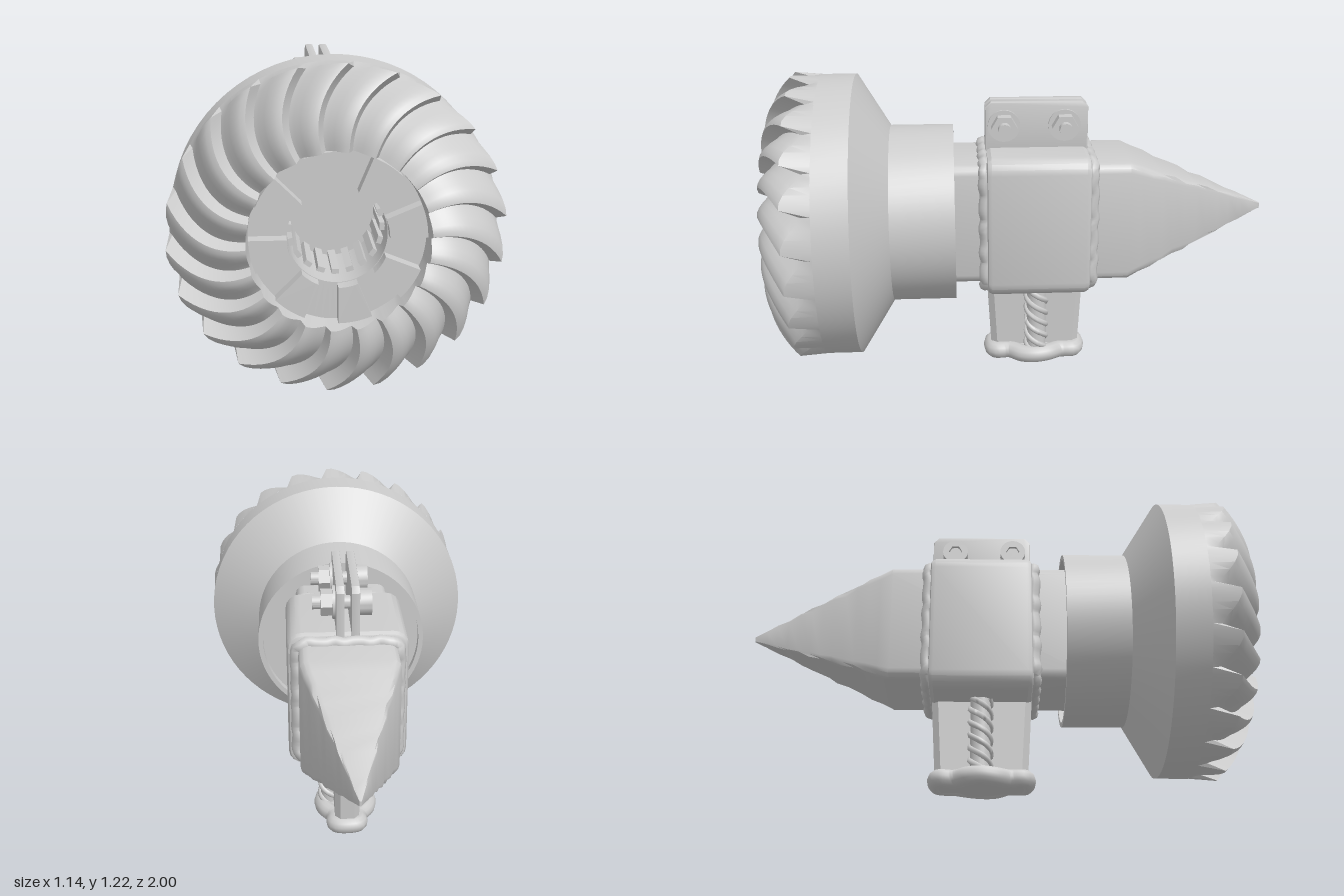
import * as THREE from 'three';
import { toCreasedNormals } from 'three/addons/utils/BufferGeometryUtils.js';

const AXIS_Y = 0.65;
const V2 = (x, y) => new THREE.Vector2(x, y);
const V3 = (x, y, z) => new THREE.Vector3(x, y, z);

// Skin through equal-length rings, ordered along +z, each counter-clockwise
function loft(rings, capped = true) {
  const n = rings[0].length, pos = rings.flat().flatMap(p => [p.x, p.y, p.z]), idx = [];
  for (let i = 0; i < rings.length - 1; i++) {
    for (let j = 0; j < n; j++) {
      const a = i * n + j, b = i * n + (j + 1) % n;
      idx.push(a, b, b + n, a, b + n, a + n);
    }
  }
  if (capped) {
    [rings[0], rings[rings.length - 1]].forEach((ring, end) => {
      const c = ring.reduce((s, p) => s.add(p), V3(0, 0, 0)).divideScalar(n);
      const k = pos.length / 3, base = end * (rings.length - 1) * n;
      pos.push(c.x, c.y, c.z);
      for (let j = 0; j < n; j++) {
        const a = base + j, b = base + (j + 1) % n;
        end ? idx.push(k, a, b) : idx.push(k, b, a);
      }
    });
  }
  const g = new THREE.BufferGeometry();
  g.setAttribute('position', new THREE.Float32BufferAttribute(pos, 3));
  g.setIndex(idx);
  g.computeVertexNormals();
  return g;
}

// Rounded rectangle ring in the xy plane
function roundRect(hx, hy, r, z, steps = 4) {
  const out = [];
  [[1, 1], [-1, 1], [-1, -1], [1, -1]].forEach(([sx, sy], q) => {
    for (let i = 0; i <= steps; i++) {
      const a = (q + i / steps) * Math.PI / 2;
      out.push(V3(sx * (hx - r) + r * Math.cos(a), sy * (hy - r) + r * Math.sin(a), z));
    }
  });
  return out;
}

// Spiral toothed face: each tooth has a steep flank and a long gentle one
function toothedFace() {
  const teeth = 22, rows = 14;
  const profile = [[0, 0], [0.17, 1], [0.32, 0.98], [0.5, 0.8], [0.68, 0.52], [0.86, 0.18]];
  const ring = fn => {
    const out = [];
    for (let t = 0; t < teeth; t++) {
      for (const [u, h] of profile) {
        const { r, z, turn } = fn(h);
        const a = (t + u) / teeth * Math.PI * 2 + turn;
        out.push(V3(r * Math.cos(a), r * Math.sin(a), z));
      }
    }
    return out;
  };
  const rings = [ring(() => ({ r: 0.563, z: 0.775, turn: -0.25 }))];
  for (let i = rows; i >= 0; i--) {
    const s = i / rows, turn = 0.06 * s - 0.31 * s * s;
    rings.push(ring(h => ({
      r: 0.305 + s * (0.247 + 0.02 * h),
      z: 1 - 0.115 * Math.pow(s, 2.2) - (1 - h) * (0.04 + 0.035 * s),
      turn,
    })));
  }
  rings.push(ring(() => ({ r: 0.297, z: 0.88, turn: 0 })));
  return loft(rings, false);
}

export function createModel() {
  const model = new THREE.Group();
  const mat = new THREE.MeshStandardMaterial({ color: 0xcccccc });
  const add = (name, geo, x = 0, y = 0, z = 0, crease = 0.5, parent = model) => {
    const m = new THREE.Mesh(toCreasedNormals(geo, crease), mat);
    m.name = name;
    m.position.set(x, y, z);
    parent.add(m);
    return m;
  };
  const lathe = pts => new THREE.LatheGeometry(pts.map(p => V2(...p)), 72).rotateX(Math.PI / 2);

  // Gear: body, toothed face, bore
  const gear = new THREE.Group();
  gear.name = 'gear';
  gear.position.y = AXIS_Y;
  model.add(gear);
  add('gearBody', lathe([[0, 0.29], [0.335, 0.29], [0.335, 0.26], [0.355, 0.26], [0.355, 0.51],
    [0.563, 0.64], [0.563, 0.776]]), 0, 0, 0, 0.4, gear);
  add('gearTeeth', toothedFace(), 0, 0, 0, 0.55, gear);
  add('bore', lathe([[0.3, 0.9], [0.168, 0.9], [0.168, 0.62], [0, 0.62]]), 0, 0, 0, 0.5, gear);

  // Clutch dogs around the bore
  for (let i = 0; i < 8; i++) {
    const a = i * Math.PI / 4, b = a + Math.PI / 8, s = new THREE.Shape();
    s.absarc(0, 0, 0.296, a, b, false);
    s.absarc(0, 0, 0.17, b, a, true);
    add('clutchDog', new THREE.ExtrudeGeometry(s, { depth: 0.06, bevelEnabled: false, curveSegments: 6 }),
      0, 0, 0.89, 0.4, gear);
  }
  // Splines in the bore
  for (let i = 0; i < 20; i++) {
    const a = i / 20 * Math.PI * 2;
    const m = add('spline', new THREE.BoxGeometry(0.024, 0.026, 0.2),
      0.162 * Math.cos(a), 0.162 * Math.sin(a), 0.72, 0.4, gear);
    m.rotation.z = a;
  }

  // Square shaft running back into a hammered spike
  const spike = [[-1, 0.004, 0.01], [-0.43, 0.19, 0.245], [0.3, 0.19, 0.245]];
  const rings = [];
  for (let i = 0; i <= 12; i++) {
    const t = i / 12, z = spike[0][0] + t * 0.57;
    const dent = 0.007 * Math.sin(t * Math.PI);
    const hx = 0.004 + 0.186 * t, hy = 0.01 + 0.235 * t;
    rings.push(roundRect(hx, hy, 0.035 * t + 0.002, z, 3).map((p, j) => {
      const w = dent * Math.sin(i * 2.3 + Math.floor(j / 2) * 1.7);
      return V3(p.x * (1 + w / (hx + 0.05)), p.y * (1 + w / (hy + 0.05)), z);
    }));
  }
  rings.push(roundRect(0.19, 0.245, 0.037, 0.3, 3));
  add('shaftAndSpike', loft(rings), 0, AXIS_Y, 0, 0.6);

  // Clamp sleeve with softened ends
  add('sleeve', loft([
    roundRect(0.215, 0.265, 0.04, -0.275), roundRect(0.227, 0.277, 0.052, -0.27),
    roundRect(0.234, 0.286, 0.06, -0.255), roundRect(0.234, 0.286, 0.06, 0.115),
    roundRect(0.227, 0.277, 0.052, 0.13), roundRect(0.215, 0.265, 0.04, 0.135),
  ]), 0, 0.643, 0);

  // Uneven weld beads where the shaft enters the sleeve
  for (const z of [0.14, -0.28]) {
    const pts = [];
    const outline = roundRect(0.195, 0.25, 0.04, z, 3);
    outline.forEach((p, i) => {
      const q = outline[(i + 1) % outline.length], n = Math.max(1, Math.round(p.distanceTo(q) / 0.035));
      for (let k = 0; k < n; k++) {
        const c = p.clone().lerp(q, k / n), w = 0.004 * Math.sin(pts.length * 2.4);
        pts.push(V3(c.x * (1 + w * 3), c.y * (1 + w * 3), z + w));
      }
    });
    add('weldBead', new THREE.TubeGeometry(new THREE.CatmullRomCurve3(pts, true), 160, 0.026, 8, true),
      0, 0.645, 0, 1);
  }

  // Pair of bolted clamp ears on top
  const ear = new THREE.Shape([V2(0.13, 0.9), V2(0.13, 1.09), V2(0.11, 1.11), V2(-0.25, 1.11),
    V2(-0.27, 1.09), V2(-0.27, 0.9)]);
  for (const side of [-1, 1]) {
    const g = new THREE.ExtrudeGeometry(ear, { depth: 0.024, bevelSize: 0.004, bevelThickness: 0.004, bevelSegments: 2 });
    add('clampEar', g.translate(0, 0, -0.012).rotateY(-Math.PI / 2), side * 0.029, 0, 0);
  }
  for (const z of [0.06, -0.18]) {
    const bolt = new THREE.Group();
    bolt.name = 'bolt';
    bolt.position.set(0, 1.02, z);
    model.add(bolt);
    const disc = (name, r, x0, x1, sides) => add(name,
      new THREE.CylinderGeometry(r, r, x1 - x0, sides).rotateZ(Math.PI / 2), (x0 + x1) / 2, 0, 0, 0.5, bolt);
    disc('boltShank', 0.026, -0.08, 0.132, 20);
    disc('washer', 0.064, 0.042, 0.056, 28);
    disc('nut', 0.052, 0.056, 0.1, 6);
    // Socket head with a hexagonal recess
    const head = new THREE.Shape().absarc(0, 0, 0.052, 0, Math.PI * 2);
    head.holes.push(new THREE.Path([5, 4, 3, 2, 1, 0].map(i =>
      V2(0.028 * Math.cos(i * Math.PI / 3), 0.028 * Math.sin(i * Math.PI / 3)))));
    add('boltHead', new THREE.ExtrudeGeometry(head, { depth: 0.052, bevelEnabled: false, curveSegments: 24 })
      .rotateY(-Math.PI / 2), -0.042, 0, 0, 0.5, bolt);
  }

  // Lower post, tapering slightly toward its foot
  add('post', loft([
    [0.015, 0.18, 0.05], [0.38, 0.2, 0.052],
  ].map(([h, half, w]) => [[w, -half + 0.025], [w, half - 0.025], [w - 0.022, half], [-w + 0.022, half],
    [-w, half - 0.025], [-w, -half + 0.025], [-w + 0.022, -half], [w - 0.022, -half]]
    .map(([x, y]) => V3(x, y, h)))).rotateX(-Math.PI / 2), 0, 0, -0.066);

  // Twisted rods welded to both flanks of the post
  for (const side of [-1, 1]) {
    const rod = new THREE.Group();
    rod.name = 'twistedRod';
    rod.position.set(side * 0.064, 0, -0.07);
    model.add(rod);
    add('rodCore', new THREE.CylinderGeometry(0.04, 0.04, 0.32, 20), 0, 0.2, 0, 0.8, rod);
    for (let start = 0; start < 3; start++) {
      const pts = Array.from({ length: 33 }, (_, i) => {
        const a = i / 32 * Math.PI * 4 + start * Math.PI * 2 / 3;
        return V3(0.04 * Math.cos(a), 0.04 + i / 32 * 0.32, 0.04 * Math.sin(a));
      });
      add('rodRib', new THREE.TubeGeometry(new THREE.CatmullRomCurve3(pts), 64, 0.012, 6), 0, 0, 0, 1.2, rod);
    }
  }

  // Lumpy weld around the foot
  const quarter = [[0.045, 0.16], [0.05, 0.1], [0.085, 0.05], [0.096, 0]];
  const mirrored = quarter.slice(0, 3).reverse().map(([x, z]) => [x, -z]);
  const half = [...quarter, ...mirrored];
  const foot = [...half, ...half.map(([x, z]) => [-x, -z])]
    .map(([x, z], i) => V3(x, 0.038 + 0.002 * Math.sin(i * 2.1), z * 1.04));
  add('footWeld', new THREE.TubeGeometry(new THREE.CatmullRomCurve3(foot, true), 96, 0.036, 12, true),
    0, 0, -0.065, 1);
  const plug = new THREE.Shape(foot.map(p => V2(p.x, p.z)));
  add('footPlug', new THREE.ExtrudeGeometry(plug, { depth: 0.06, bevelEnabled: false }).rotateX(-Math.PI / 2),
    0, 0.006, -0.065);

  return model;
}
